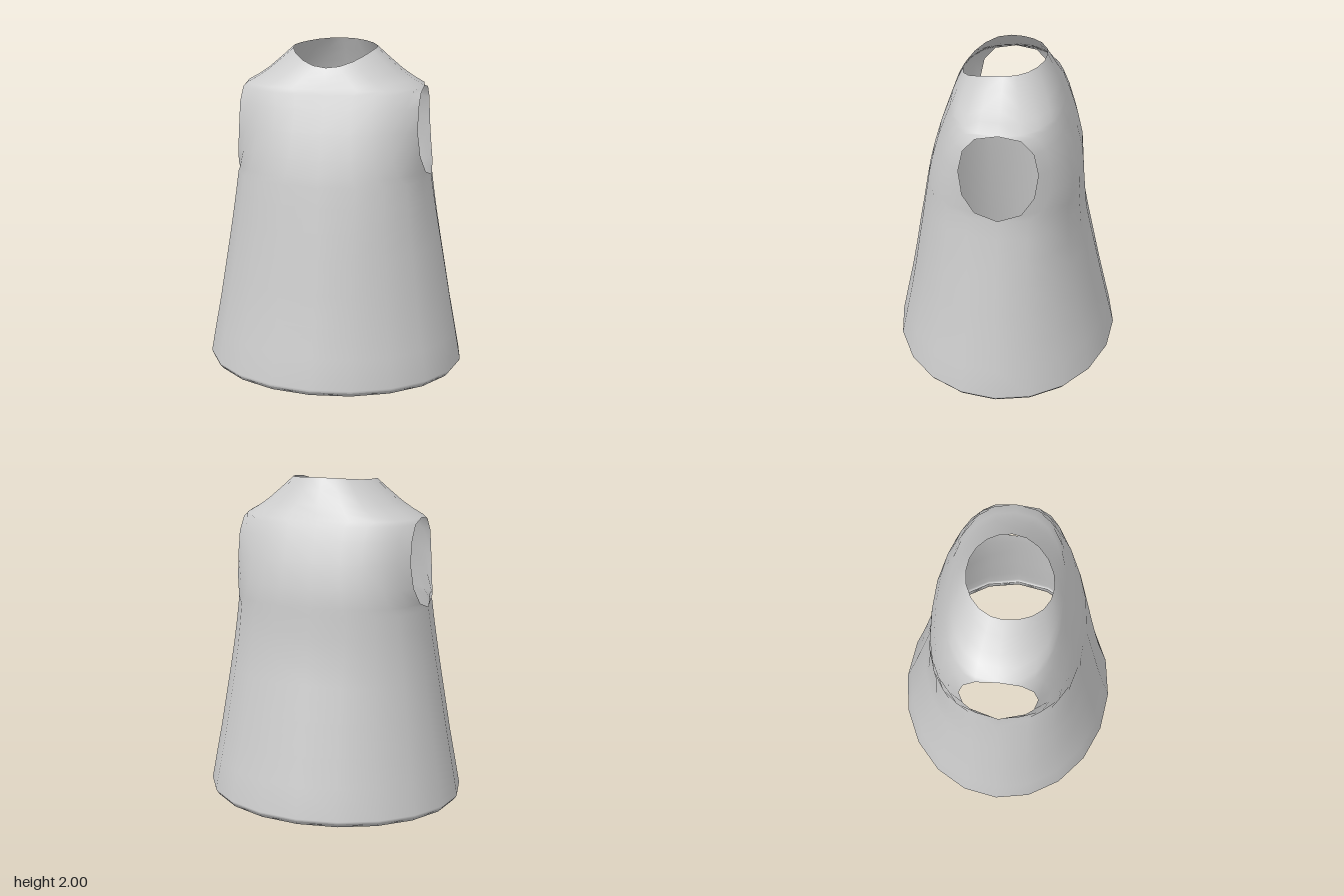
import * as THREE from 'three';
import { mergeVertices } from 'three/addons/utils/BufferGeometryUtils.js';

const SEGMENTS = 10; // columns on each half (front, back)

// Each ring: side x, side y, front z, front y, back z, back y, squareness, armhole half depth
const ring = (sx, sy, fz, fy, bz, by, n = 2, arm = 0) => ({ sx, sy, fz, fy, bz, by, n, arm });
const level = (y, sx, fz, bz, n, arm) => ring(sx, y, fz, y, bz, y, n, arm);

const bodyRings = [
  level(0.025, 0.795, 0.693, 0.693),
  level(0.04, 0.8, 0.697, 0.7),
  level(0.22, 0.768, 0.66, 0.657),
  level(0.4, 0.735, 0.622, 0.615),
  level(0.6, 0.7, 0.585, 0.57, 2.05),
  level(0.8, 0.665, 0.552, 0.525, 2.1),
  level(0.95, 0.638, 0.525, 0.493, 2.2),
  level(1.1, 0.613, 0.5, 0.478, 2.3),
  level(1.22, 0.595, 0.478, 0.468, 2.4),
  // armhole rows
  level(1.265, 0.582, 0.468, 0.465, 2.45, 0.135),
  level(1.37, 0.56, 0.443, 0.455, 2.5, 0.207),
  level(1.52, 0.545, 0.4, 0.42, 2.5, 0.228),
  level(1.655, 0.545, 0.352, 0.377, 2.45, 0.2),
  level(1.735, 0.545, 0.325, 0.347, 2.4, 0.13),
  level(1.76, 0.545, 0.316, 0.337, 2.4),
  // shoulders up to the neckline
  ring(0.475, 1.8, 0.306, 1.785, 0.322, 1.8, 2.35),
  ring(0.41, 1.845, 0.294, 1.815, 0.304, 1.845, 2.25),
  ring(0.325, 1.918, 0.277, 1.852, 0.268, 1.925, 2.1),
  ring(0.255, 1.98, 0.26, 1.885, 0.232, 2.0),
];

const hemRings = [
  level(0.025, 0.795, 0.693, 0.693),
  level(0.0, 0.775, 0.675, 0.675),
  level(0.03, 0.782, 0.682, 0.682),
];

// Lofts front and back halves through the rings, leaving a gap at armhole rows
function loft(rings) {
  const positions = [];
  const indices = [];
  for (const dir of [1, -1]) {
    const start = positions.length / 3;
    for (const r of rings) {
      const depth = dir > 0 ? r.fz : r.bz;
      const midY = dir > 0 ? r.fy : r.by;
      const end = Math.acos(Math.pow(r.arm / depth, r.n / 2));
      const width = r.sx / Math.pow(Math.sin(end), 2 / r.n);
      for (let c = 0; c <= SEGMENTS; c++) {
        const t = end * (2 * c / SEGMENTS - 1);
        const s = Math.sin(t);
        const k = Math.max(Math.cos(t), 0);
        positions.push(
          Math.sign(s) * width * Math.pow(Math.abs(s), 2 / r.n),
          THREE.MathUtils.lerp(r.sy, midY, k * k),
          dir * depth * Math.pow(k, 2 / r.n)
        );
      }
    }
    const row = SEGMENTS + 1;
    for (let j = 0; j < rings.length - 1; j++) {
      for (let c = 0; c < SEGMENTS; c++) {
        const a = start + j * row + c;
        const b = a + 1;
        const d = a + row;
        const e = d + 1;
        if (dir > 0) indices.push(a, b, e, a, e, d);
        else indices.push(a, e, b, a, d, e);
      }
    }
  }
  const geometry = new THREE.BufferGeometry();
  geometry.setAttribute('position', new THREE.Float32BufferAttribute(positions, 3));
  geometry.setIndex(indices);
  const welded = mergeVertices(geometry, 1e-4); // join side and shoulder seams
  welded.computeVertexNormals();
  return welded;
}

export function createModel() {
  const group = new THREE.Group();
  group.name = 'sleevelessTop';

  const fabric = new THREE.MeshStandardMaterial({ color: 0xcccccc, side: THREE.DoubleSide });
  fabric.name = 'greyFabric';

  // Main garment with neck and arm openings
  const body = new THREE.Mesh(loft(bodyRings), fabric);
  body.name = 'garmentBody';

  // Narrow edge turned under at the bottom
  const hem = new THREE.Mesh(loft(hemRings), fabric);
  hem.name = 'foldedHem';

  group.add(body, hem);
  return group;
}
